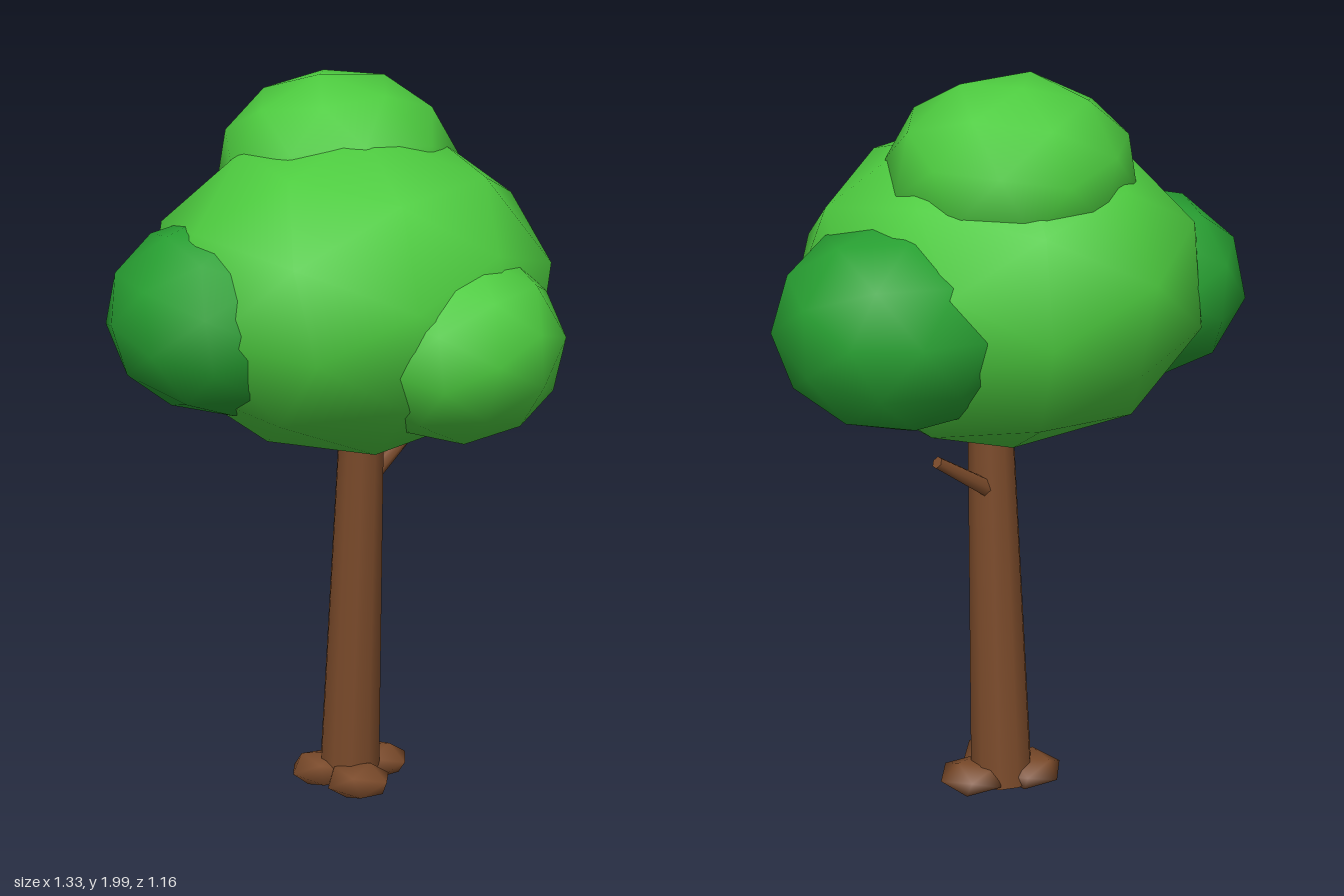
import * as THREE from 'three';

const leaf = new THREE.MeshStandardMaterial({ color: 0x4dcb3f });
leaf.name = 'leaf green';
const darkLeaf = new THREE.MeshStandardMaterial({ color: 0x28a032 });
darkLeaf.name = 'dark leaf green';
const bark = new THREE.MeshStandardMaterial({ color: 0x7a4a2a });
bark.name = 'bark brown';

// Squashed low-poly ball with smooth radial normals
function blob(name, material, detail, [x, y, z], [rx, ry, rz], turn) {
  const geo = new THREE.IcosahedronGeometry(1, detail);
  const p = geo.attributes.position;
  for (let i = 0; i < p.count; i++) geo.attributes.normal.setXYZ(i, p.getX(i), p.getY(i), p.getZ(i));
  geo.rotateX(turn[0]).rotateY(turn[1]).rotateZ(turn[2]);
  geo.scale(rx, ry, rz);
  const mesh = new THREE.Mesh(geo, material);
  mesh.name = name;
  mesh.position.set(x, y, z);
  return mesh;
}

// Tapered limb between two points
function limb(name, from, to, r0, r1, sides) {
  const a = new THREE.Vector3(...from), b = new THREE.Vector3(...to);
  const dir = b.clone().sub(a);
  const mesh = new THREE.Mesh(new THREE.CylinderGeometry(r1, r0, dir.length(), sides), bark);
  mesh.name = name;
  mesh.position.copy(a).add(b).multiplyScalar(0.5);
  mesh.quaternion.setFromUnitVectors(new THREE.Vector3(0, 1, 0), dir.normalize());
  return mesh;
}

export function createModel() {
  const tree = new THREE.Group();
  tree.name = 'tree';

  // Leaning trunk and side twig
  tree.add(limb('trunk', [0.007, 0.02, -0.085], [0.012, 1.12, -0.032], 0.087, 0.061, 10));
  tree.add(limb('twig', [0.03, 0.865, -0.07], [0.214, 0.982, -0.09], 0.026, 0.017, 6));

  // Root lumps around the foot
  [[-0.035, 0.01], [0.095, -0.075], [-0.06, -0.12]].forEach(([x, z], i) =>
    tree.add(blob('root' + (i + 1), bark, 0, [x, 0.046, z], [0.098, 0.046, 0.098], [0.3, i * 2.1 + 0.4, 0.2])));

  // Crown
  const crown = new THREE.Group();
  crown.name = 'crown';
  crown.add(
    blob('mainCrown', leaf, 1, [-0.008, 1.437, -0.058], [0.548, 0.437, 0.545], [0.2, 0.2, 0.1]),
    blob('topLobe', leaf, 1, [0.04, 1.743, -0.173], [0.328, 0.26, 0.318], [0.1, 0.9, 0.3]),
    blob('frontLobe', leaf, 1, [0.052, 1.348, 0.312], [0.28, 0.256, 0.284], [0.3, 0.2, 0.1]),
    blob('leftLobe', darkLeaf, 1, [0.36, 1.39, -0.148], [0.325, 0.272, 0.328], [0.2, 1.2, 0.2]),
    blob('rightLobe', darkLeaf, 1, [-0.365, 1.402, -0.14], [0.306, 0.262, 0.318], [0.4, 0.3, 0.2]),
  );
  tree.add(crown);
  return tree;
}
